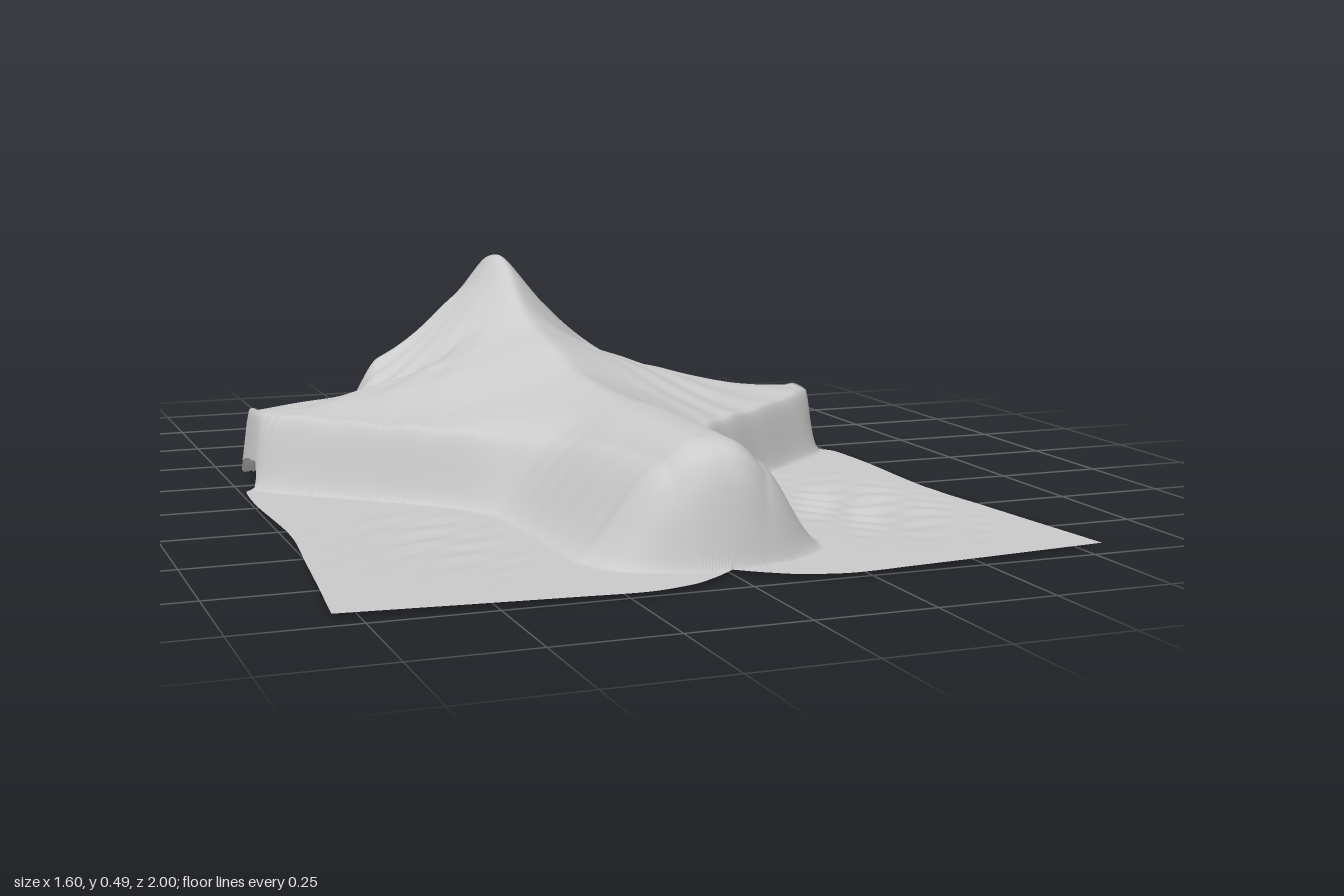
import * as THREE from 'three';

const { lerp, clamp, smoothstep } = THREE.MathUtils;
const FLOOR = 0.02;

// Piecewise smooth lookup: rows of [key, value, value, ...]
function sample(rows, key, col) {
  let i = 0;
  while (i < rows.length - 2 && key > rows[i + 1][0]) i++;
  const p1 = rows[i], p2 = rows[i + 1];
  const t = clamp((key - p1[0]) / (p2[0] - p1[0]), 0, 1);
  const slope = (a, b) => (b[col] - a[col]) / (b[0] - a[0]);
  const m = slope(p1, p2);
  // limited tangents keep the curve from overshooting
  const tangent = (s, r) => (s * r <= 0 ? 0 : (2 * s * r) / (s + r));
  const m1 = i > 0 ? tangent(slope(rows[i - 1], p1), m) : m;
  const m2 = i < rows.length - 2 ? tangent(m, slope(p2, rows[i + 2])) : m;
  const d = p2[0] - p1[0], t2 = t * t, t3 = t2 * t;
  return (2 * t3 - 3 * t2 + 1) * p1[col] + (t3 - 2 * t2 + t) * d * m1
    + (3 * t2 - 2 * t3) * p2[col] + (t3 - t2) * d * m2;
}

// Outline of the sheet: half width by z, back and front edge by |x|
const HALF_WIDTH = [[-1, 0.55], [-0.7, 0.62], [-0.4, 0.68], [-0.35, 0.685], [-0.31, 0.72], [-0.22, 0.715],
  [-0.19, 0.71], [-0.13, 0.745], [0, 0.75], [0.3, 0.74], [0.6, 0.765], [0.95, 0.8]];
const BACK_EDGE = [[0, -0.715], [0.05, -0.7], [0.062, -0.74], [0.075, -0.81], [0.12, -0.88], [0.2, -0.92], [0.6, -1]];
const FRONT_EDGE = [[0, 0.9], [0.05, 0.94], [0.12, 0.98], [0.22, 1], [0.35, 0.99], [0.8, 0.95]];

// Cross-sections along z: ridge height, shoulder x, shoulder height, foot x, fullness
const SECTIONS = [
  [-0.89, 0.02, 0.1, 0.02, 0.22, 0.5],
  [-0.84, 0.09, 0.15, 0.07, 0.3, 0.6],
  [-0.78, 0.2, 0.2, 0.13, 0.36, 0.6],
  [-0.72, 0.35, 0.24, 0.17, 0.41, 0.4],
  [-0.69, 0.45, 0.27, 0.19, 0.43, 0.3],
  [-0.65, 0.49, 0.3, 0.215, 0.45, 0.25],
  [-0.58, 0.5, 0.32, 0.21, 0.48, 0.25],
  [-0.5, 0.475, 0.34, 0.19, 0.55, 0.25],
  [-0.42, 0.41, 0.46, 0.155, 0.65, 0.15],
  [-0.35, 0.37, 0.62, 0.165, 0.69, 0.1],
  [-0.3, 0.35, 0.7, 0.172, 0.725, 0.1],
  [-0.2, 0.33, 0.695, 0.18, 0.72, 0.1],
  [-0.15, 0.32, 0.65, 0.18, 0.71, 0.1],
  [0, 0.28, 0.48, 0.175, 0.55, 0.15],
  [0.1, 0.272, 0.36, 0.175, 0.43, 0.3],
  [0.2, 0.267, 0.25, 0.175, 0.335, 0.5],
  [0.32, 0.265, 0.16, 0.18, 0.285, 0.8],
  [0.5, 0.264, 0.12, 0.205, 0.27, 1],
  [0.78, 0.26, 0.1, 0.212, 0.265, 1],
  [0.84, 0.24, 0.1, 0.19, 0.25, 1],
  [0.87, 0.19, 0.09, 0.145, 0.24, 1],
  [0.9, 0.02, 0.08, 0.02, 0.22, 1],
];

// Fine creases pulled between the mast, the wing tips and the floor
function wrinkles(x, z, h) {
  const ax = Math.abs(x), lift = clamp((h - FLOOR) / 0.08, 0, 1);
  const angle = Math.atan2(z + 0.62, ax + 0.08);
  const radial = Math.sin(angle * 34 + Math.sin(ax * 9 + x * 3) * 1.5) * smoothstep(ax, 0.06, 0.35);
  const pleats = Math.sin(z * 75 + ax * 40 + Math.sin(z * 17)) * smoothstep(z, 0, 0.4) * smoothstep(ax, 0.08, 0.2);
  // rumpled patches on the floor beside the nose
  const dx = (ax - 0.5) / 0.15, dz = (z - 0.45) / 0.25;
  const patch = Math.exp(-dx * dx - dz * dz) * (x > 0 ? 1 : 0.6);
  const fold = Math.sin(z * 62 - ax * 35 + 2 * Math.sin(ax * 19 + x * 4)) * Math.sin(z * 13 + x * 21);
  return lift * (0.0025 * radial + 0.0015 * pleats) + (1 - lift) * patch * (0.006 * fold - 0.004);
}

function height(x, z) {
  const ax = Math.abs(x);
  // the nose end is rounded in plan
  const station = z + 1.3 * ax * ax * smoothstep(z, 0.6, 0.85);
  const [ridge, sx, sy, foot, full] = [1, 2, 3, 4, 5].map((c) => sample(SECTIONS, station, c));
  const shoulder = FLOOR + (sy - FLOOR) * (1 - 0.05 * clamp(x / 0.5, -1, 1));
  let h;
  if (ax < sx) {
    // rounded ridge falling to the shoulder
    const e = 0.02, soft = (v) => Math.hypot(v, e) - e;
    const t = soft(ax) / soft(sx);
    h = shoulder + (ridge - shoulder) * lerp((1 - t) ** 2, 1 - t * t, full);
  } else {
    // wall from the shoulder, flaring out on the floor
    const t = clamp((ax - sx) / (foot - sx), 0, 1);
    h = lerp(shoulder, FLOOR, lerp(t * t * (3 - 2 * t), t, 0.35));
  }
  // tail bar pushing up under the sheet
  h += 0.02 * Math.exp(-(((z + 0.62) / 0.035) ** 2)) * smoothstep(ax, 0.05, 0.15) * (1 - smoothstep(ax, 0.3, 0.37));
  // hem lifted under the wing tips
  h += 0.025 * smoothstep(ax, 0.69, 0.715) * Math.exp(-(((z + 0.26) / 0.06) ** 4));
  return h + wrinkles(x, z, h);
}

export function createModel() {
  const group = new THREE.Group();
  group.name = 'drapedSheet';

  const COLS = 240, ROWS = 260;
  const positions = [], index = [];
  for (let j = 0; j <= ROWS; j++) {
    // rows crowd toward the back and front hems
    const v = j / ROWS, s = v - 0.08 * Math.sin(2 * Math.PI * v);
    for (let i = 0; i <= COLS; i++) {
      const u = (i / COLS) * 2 - 1;
      const back = sample(BACK_EDGE, Math.abs(u) * 0.6, 1);
      const front = sample(FRONT_EDGE, Math.abs(u) * 0.8, 1);
      const z = lerp(back, front, s);
      const x = u * sample(HALF_WIDTH, z, 1);
      positions.push(x, height(x, z), z);
      if (i < COLS && j < ROWS) {
        const a = j * (COLS + 1) + i, c = a + COLS + 1;
        index.push(a, c, a + 1, a + 1, c, c + 1);
      }
    }
  }

  const geometry = new THREE.BufferGeometry();
  geometry.setAttribute('position', new THREE.Float32BufferAttribute(positions, 3));
  geometry.setIndex(index);
  geometry.computeVertexNormals();

  const cloth = new THREE.Mesh(geometry, new THREE.MeshStandardMaterial({ color: 0xcccccc, side: THREE.DoubleSide }));
  cloth.name = 'cloth';
  group.add(cloth);
  return group;
}
